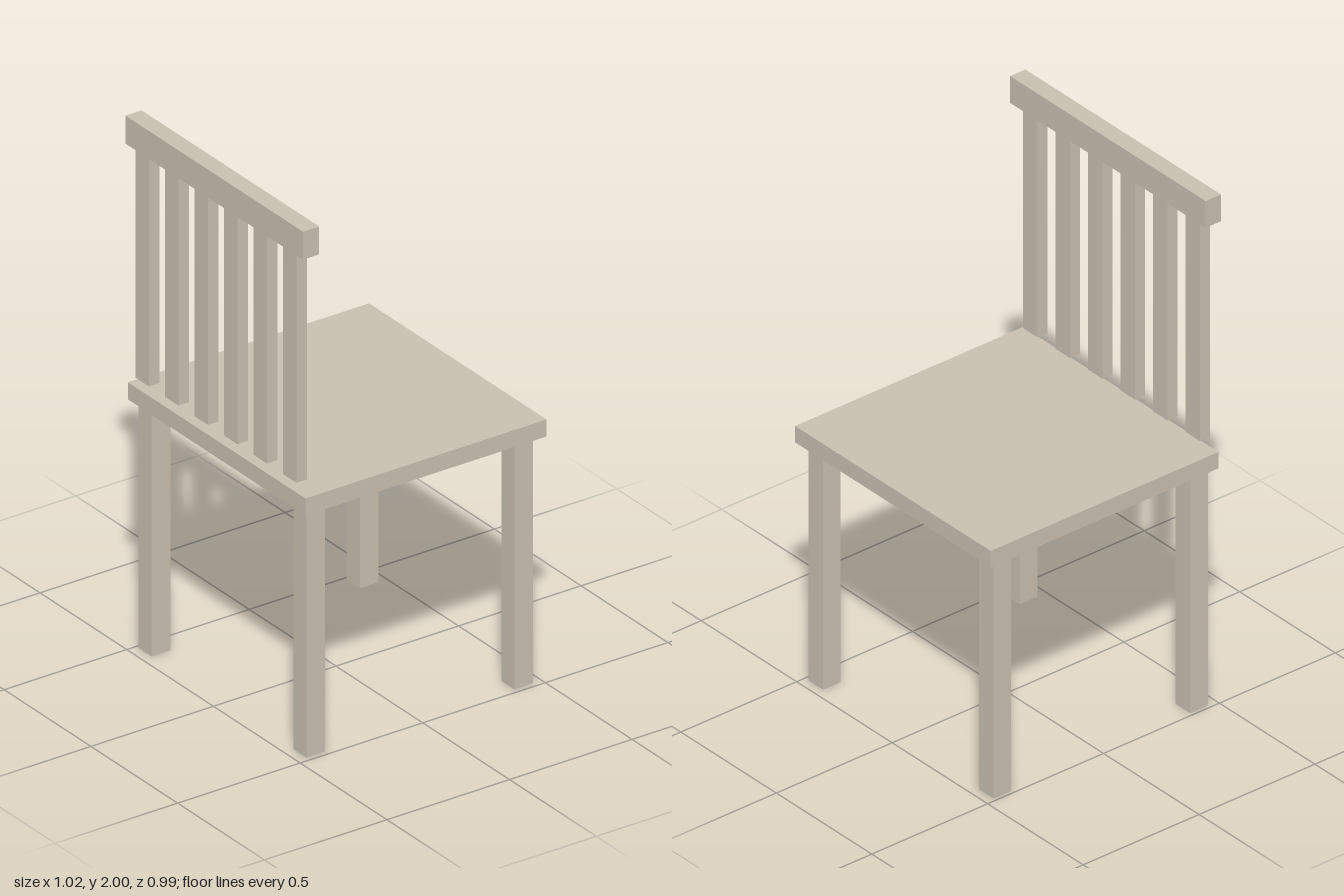
import * as THREE from 'three';

export function createModel() {
  const chair = new THREE.Group();
  chair.name = 'chair';

  const paleWood = new THREE.MeshStandardMaterial({ color: 0xc8c0b0 });
  paleWood.name = 'paleWood';

  // Box given by its size, centre in x and z, and bottom height
  function addBox(name, width, height, depth, x, bottom, z) {
    const mesh = new THREE.Mesh(new THREE.BoxGeometry(width, height, depth), paleWood);
    mesh.name = name;
    mesh.position.set(x, bottom + height / 2, z);
    chair.add(mesh);
  }

  // Seat
  addBox('seat', 1.024, 0.064, 0.984, 0, 0.931, -0.005);

  // Four square legs
  for (const [side, x] of [['Right', -0.449], ['Left', 0.443]]) {
    addBox(`frontLeg${side}`, 0.076, 0.931, 0.076, x, 0, -0.426);
    addBox(`backLeg${side}`, 0.076, 0.931, 0.076, x, 0, 0.423);
  }

  // Back slats, hanging from the rail just clear of the seat
  for (let i = 0; i < 6; i++) {
    addBox(`backSlat${i + 1}`, 0.077, 0.863, 0.043, -0.428 + i * 0.17, 1.032, 0.466);
  }

  // Top rail
  addBox('topRail', 1.024, 0.105, 0.066, 0, 1.895, 0.464);

  return chair;
}
